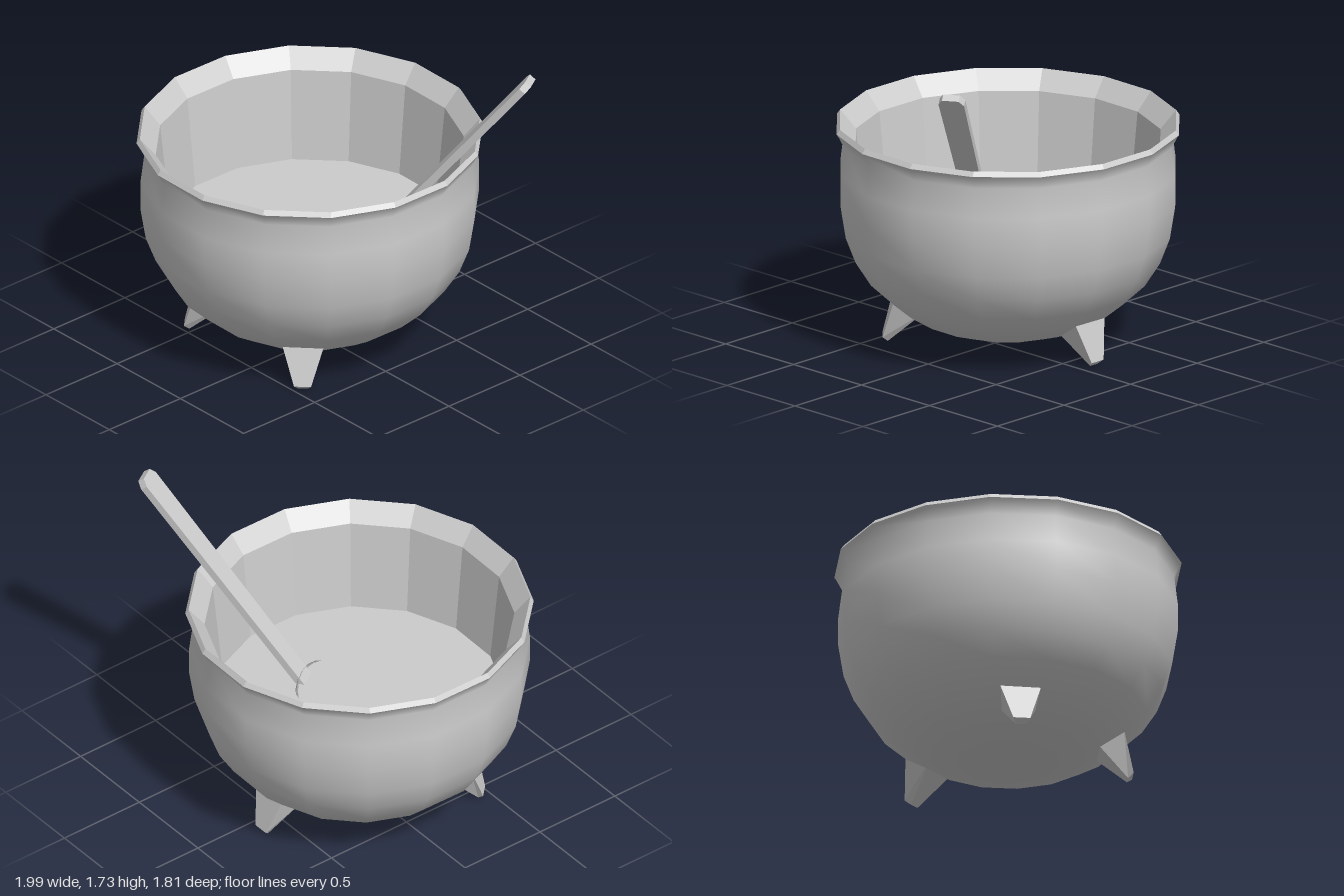
import * as THREE from 'three';

const SIDES = 16;
const CENTRE_X = -0.1;

export function createModel() {
  const model = new THREE.Group();
  model.name = 'cauldronWithSpoon';
  const smooth = new THREE.MeshStandardMaterial({ color: 0xcccccc });
  const flat = new THREE.MeshStandardMaterial({ color: 0xcccccc, flatShading: true });
  const flatDouble = new THREE.MeshStandardMaterial({ color: 0xcccccc, flatShading: true, side: THREE.DoubleSide });

  const add = (parent, name, geometry, material) => {
    const mesh = new THREE.Mesh(geometry, material);
    mesh.name = name;
    parent.add(mesh);
    return mesh;
  };

  // Profiles give [distance to the middle of a side, height]
  const turned = (profile) => new THREE.LatheGeometry(
    profile.map(([r, y]) => new THREE.Vector2(r / Math.cos(Math.PI / SIDES), y)),
    SIDES, Math.PI / SIDES - 0.016);

  const cauldron = new THREE.Group();
  cauldron.name = 'cauldron';
  cauldron.position.x = CENTRE_X;
  model.add(cauldron);

  // Rounded outside up to the flared lip
  add(cauldron, 'bowl', turned([
    [0, 0.04], [0.17, 0.055], [0.32, 0.085], [0.47, 0.14], [0.6, 0.225], [0.72, 0.34],
    [0.8, 0.47], [0.852, 0.61], [0.88, 0.79], [0.88, 0.95], [0.86, 1.11], [0.89, 1.17], [0.9, 1.185],
  ]), smooth);

  // Lip, inner wall and contents
  add(cauldron, 'rim', turned([[0.89, 1.17], [0.9, 1.185], [0.883, 1.21], [0.8, 1.11]]), flat);
  add(cauldron, 'innerWall', turned([[0.8, 1.11], [0.75, 0.6]]), flat);
  add(cauldron, 'contents', turned([[0.75, 0.6], [0, 0.6]]), flat);

  // Splayed legs, tapering to a small foot; rows are [width, height, radial distance]
  const legGeometry = () => {
    const geometry = new THREE.BoxGeometry(1, 1, 1);
    const p = geometry.attributes.position;
    const corner = {
      topOuter: [0.22, 0.24, 0.602], topInner: [0.21, 0.19, 0.43],
      footOuter: [0.09, 0.025, 0.66], footInner: [0.055, 0, 0.632],
    };
    for (let i = 0; i < p.count; i++) {
      const key = (p.getY(i) > 0 ? 'top' : 'foot') + (p.getZ(i) > 0 ? 'Outer' : 'Inner');
      const [w, y, r] = corner[key];
      p.setXYZ(i, Math.sign(p.getX(i)) * w / 2, y, r);
    }
    geometry.computeVertexNormals();
    return geometry;
  };
  const legs = { frontLeftLeg: Math.PI / 4, frontRightLeg: -Math.PI / 4, backLeg: Math.PI };
  for (const [name, angle] of Object.entries(legs)) {
    add(cauldron, name, legGeometry(), flat).rotation.y = angle;
  }

  // Spoon frame: x across the handle, y along it, z out of the scoop
  const spoon = new THREE.Group();
  spoon.name = 'spoon';
  const along = new THREE.Vector3(0.53, 0.78, -0.33).normalize();
  const across = new THREE.Vector3(-along.z, 0, along.x).normalize();
  across.set(0.53, 0, 0.85).addScaledVector(along, -across.set(0.53, 0, 0.85).dot(along)).normalize();
  const outOf = new THREE.Vector3().crossVectors(across, along);
  spoon.quaternion.setFromRotationMatrix(new THREE.Matrix4().makeBasis(across, along, outOf));
  spoon.position.set(0.612, 1.21, -0.4);
  model.add(spoon);

  // Flat handle with clipped corners, widening to the end
  const outline = new THREE.Shape([
    [-0.053, -0.86], [0.053, -0.86], [0.069, 0.605], [0.045, 0.645], [-0.045, 0.645], [-0.069, 0.605],
  ].map(([x, y]) => new THREE.Vector2(x, y)));
  const handle = new THREE.ExtrudeGeometry(outline, { depth: 0.04, bevelEnabled: false });
  add(spoon, 'spoonHandle', handle.translate(0, 0, -0.02), flat);

  // Hollow scoop, mostly sunk in the contents
  const scoop = new THREE.SphereGeometry(1, 10, 10, Math.PI, Math.PI);
  scoop.scale(0.24, 0.2, 0.09);
  add(spoon, 'spoonScoop', scoop.translate(0, -0.94, 0.03), flatDouble);

  return model;
}
